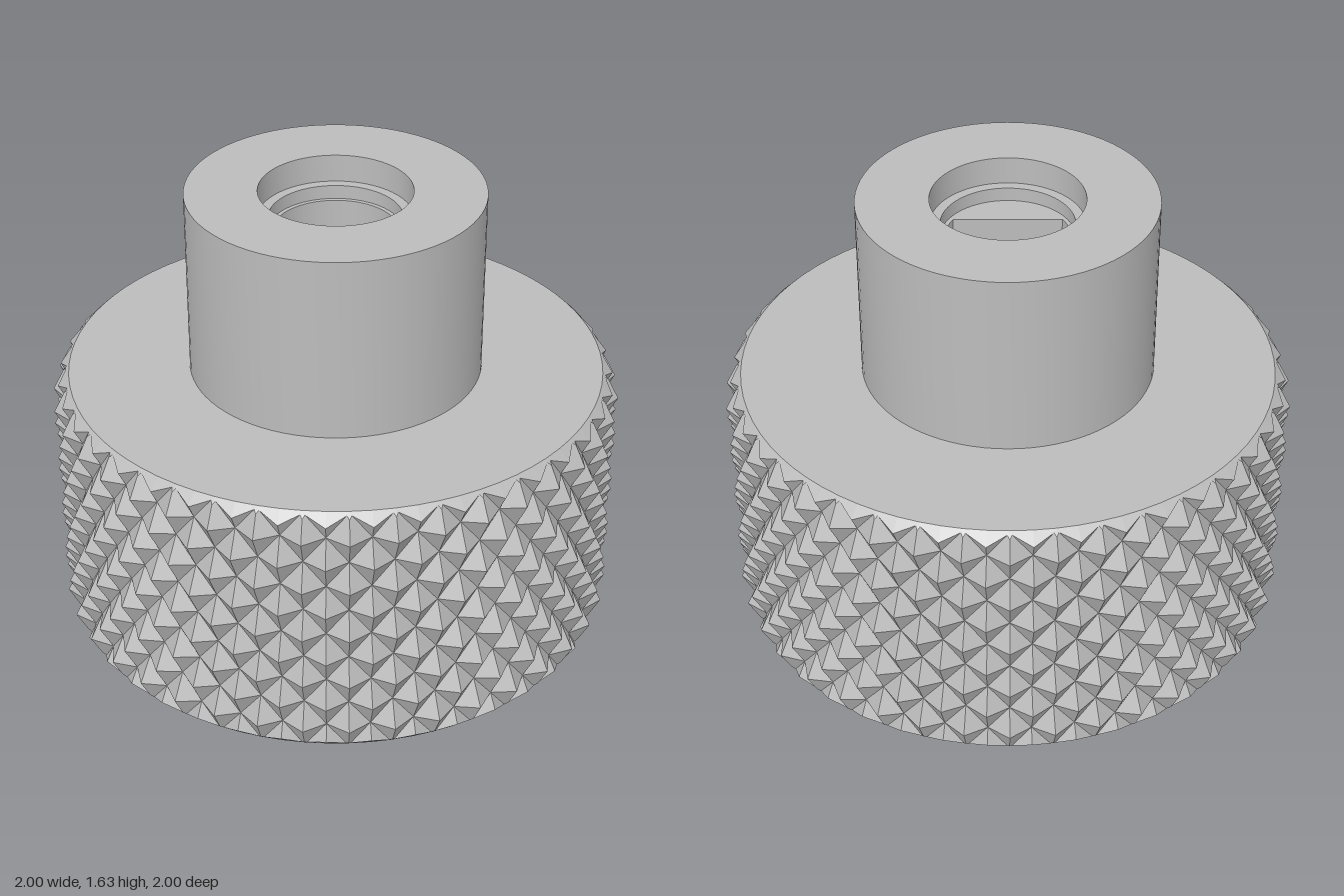
import * as THREE from 'three';
import { toCreasedNormals } from 'three/addons/utils/BufferGeometryUtils.js';

const HEIGHT = 0.965;      // knurled head
const TOP = 1.63;          // top of the collar
const FACE_R = 0.94;       // flat end faces, inside the chamfer
const PEAK_R = 1, VALLEY_R = 0.95;
const COLS = 80, ROWS = 10;
const FLOOR = 0.9;         // bottom of the shaft hole

// Radius of the 45 degree chamfer cones at height y
const chamferRadius = (y) => FACE_R + Math.max(0, Math.min(y, HEIGHT - y));

// Lattice of alternating peaks and valleys, cut off by the end chamfers
function knurlGeometry() {
  const positions = [];
  const node = (i, j) => {
    const a = (i / COLS) * Math.PI * 2;
    const r = (i + j) % 2 ? PEAK_R : VALLEY_R;
    return new THREE.Vector3(Math.sin(a) * r, (j / ROWS) * HEIGHT, Math.cos(a) * r);
  };
  const excess = (p) => Math.hypot(p.x, p.z) - chamferRadius(p.y);
  const emit = (poly, onCone) => {
    const pts = poly.map((p) => {
      if (!onCone) return p;
      const k = chamferRadius(p.y) / Math.hypot(p.x, p.z);
      return new THREE.Vector3(p.x * k, p.y, p.z * k);
    });
    for (let n = 1; n + 1 < pts.length; n++) {
      for (const p of [pts[0], pts[n], pts[n + 1]]) positions.push(p.x, p.y, p.z);
    }
  };
  // Split each facet where it meets the cone; the outer piece is laid on the cone
  const facet = (...tri) => {
    const inside = [], outside = [];
    tri.forEach((p, n) => {
      const q = tri[(n + 1) % 3];
      const fp = excess(p), fq = excess(q);
      (fp > 0 ? outside : inside).push(p);
      if ((fp > 0) !== (fq > 0)) {
        const cut = p.clone().lerp(q, fp / (fp - fq));
        inside.push(cut);
        outside.push(cut);
      }
    });
    emit(inside, false);
    emit(outside, true);
  };
  for (let j = 0; j < ROWS; j++) {
    for (let i = 0; i < COLS; i++) {
      const a = node(i, j), b = node(i + 1, j), c = node(i + 1, j + 1), d = node(i, j + 1);
      // The diagonal always follows the groove between two valleys
      if ((i + j) % 2 === 0) { facet(a, b, c); facet(a, c, d); }
      else { facet(a, b, d); facet(b, c, d); }
    }
  }
  const geometry = new THREE.BufferGeometry();
  geometry.setAttribute('position', new THREE.Float32BufferAttribute(positions, 3));
  geometry.computeVertexNormals();
  return geometry;
}

// Sleeve with a D-shaped hole; the flat lies towards the front
function sleeveGeometry() {
  const r = 0.215, flat = 0.105;
  const a = Math.asin(flat / r);
  const shape = new THREE.Shape().absarc(0, 0, 0.235, 0, Math.PI * 2);
  const hole = new THREE.Path().absarc(0, 0, r, -a, Math.PI + a, false);
  hole.closePath();
  shape.holes.push(hole);
  const geometry = new THREE.ExtrudeGeometry(shape, { depth: 1.48 - FLOOR, bevelEnabled: false, curveSegments: 40 });
  geometry.rotateX(-Math.PI / 2).translate(0, FLOOR, 0);
  return toCreasedNormals(geometry, 0.5);
}

export function createModel() {
  const metal = new THREE.MeshStandardMaterial({ color: 0xbcbcbc });
  metal.name = 'brushed grey metal';
  const group = new THREE.Group();
  group.name = 'knurledKnob';
  const add = (name, geometry) => {
    const mesh = new THREE.Mesh(geometry, metal);
    mesh.name = name;
    group.add(mesh);
  };

  add('knurledGrip', knurlGeometry());
  add('baseFace', new THREE.CircleGeometry(FACE_R, COLS).rotateX(Math.PI / 2));

  // Shoulder, collar wall, rim and stepped counterbore
  const profile = [
    [FACE_R, HEIGHT], [0.515, HEIGHT], [0.515, TOP], [0.265, TOP],
    [0.265, 1.53], [0.23, 1.53], [0.23, 1.47],
  ].map(([x, y]) => new THREE.Vector2(x, y));
  add('collar', toCreasedNormals(new THREE.LatheGeometry(profile, COLS), 0.5));

  add('shaftSleeve', sleeveGeometry());
  add('holeFloor', new THREE.CircleGeometry(0.23, 48).rotateX(-Math.PI / 2).translate(0, FLOOR + 0.002, 0));
  return group;
}
